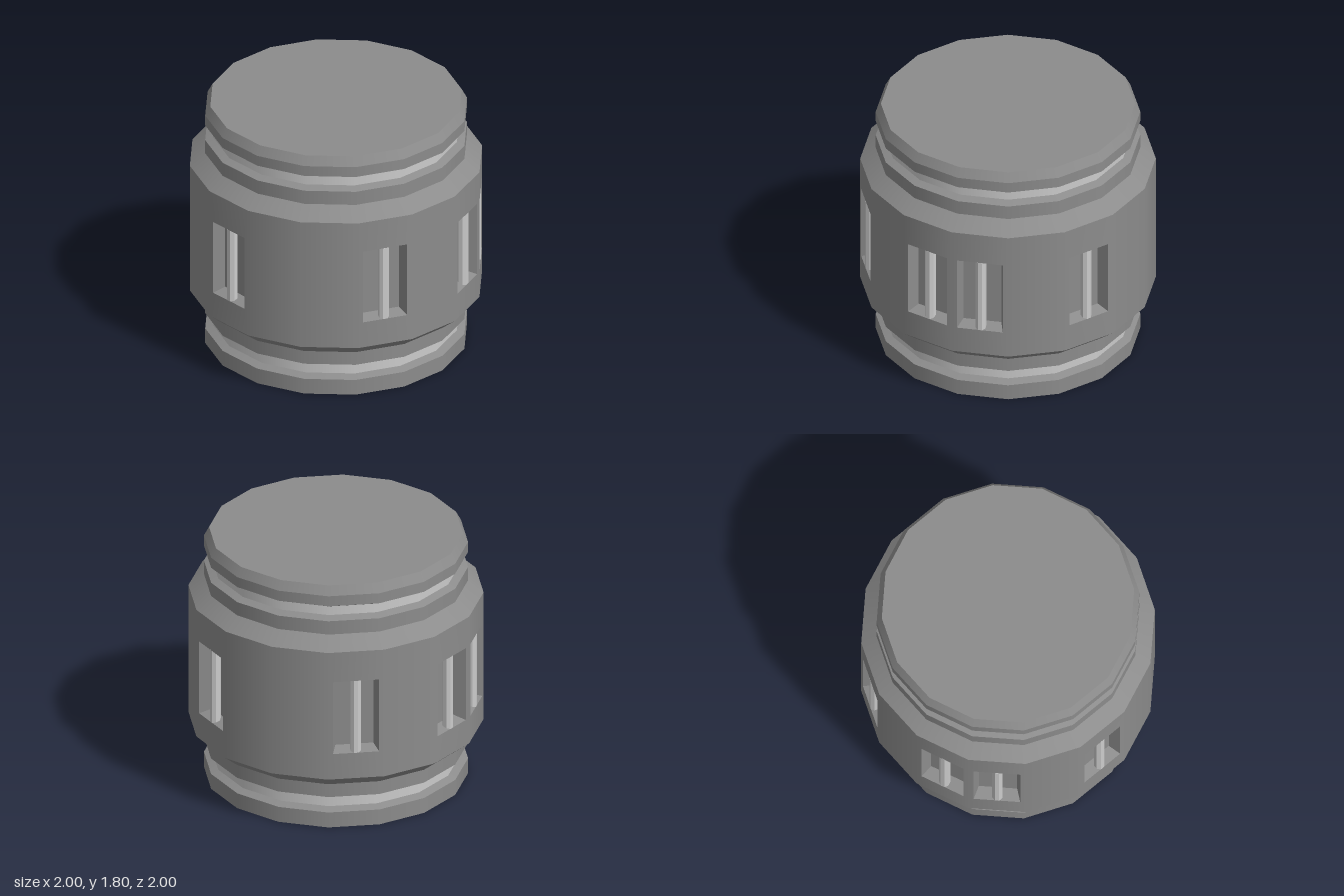
import * as THREE from 'three';
import { mergeGeometries, mergeVertices } from 'three/addons/utils/BufferGeometryUtils.js';

const SIDES = 16;
const STEP = (Math.PI * 2) / SIDES;
const APOTHEM = Math.cos(STEP / 2);
const WALL = { bottom: 0.41, top: 1.362 };
const WINDOW = { half: 0.158, bottom: 0.6, top: 1.14 };
const RECESS = { half: 0.13, bottom: 0.627, top: 1.113, z: 0.895 };
const WINDOW_SIDES = [1, 3, 4, 6, 9, 11, 12, 14];
const TOP = 1.803;
const GROOVE_RADIUS = 0.843;

const darkGrey = new THREE.MeshStandardMaterial({ color: 0x8c8c8c, side: THREE.DoubleSide });
const lightGrey = new THREE.MeshStandardMaterial({ color: 0xcccccc, side: THREE.DoubleSide });
const barGrey = new THREE.MeshStandardMaterial({ color: 0xcccccc, flatShading: true });

function addMesh(parent, name, geometry, material) {
  const mesh = new THREE.Mesh(geometry, material);
  mesh.name = name;
  parent.add(mesh);
}

// Stacked open rings following a [radius, y] profile, sharp between them; groove floors are light
function addBands(parent, name, profile) {
  const group = new THREE.Group();
  group.name = name;
  for (let i = 0; i < profile.length - 1; i++) {
    const [r0, y0] = profile[i];
    const [r1, y1] = profile[i + 1];
    const ring = new THREE.CylinderGeometry(r1, r0, y1 - y0, SIDES, 1, true);
    ring.translate(0, (y0 + y1) / 2, 0);
    const isGroove = r0 === GROOVE_RADIUS && r1 === GROOVE_RADIUS;
    addMesh(group, isGroove ? 'grooveFloor' : 'ring', ring, isGroove ? lightGrey : darkGrey);
  }
  parent.add(group);
}

// One flat side of the wall, optionally pierced, with normals that round the whole wall
function wallPanel(pierced) {
  const half = Math.sin(STEP / 2);
  const rect = (path, h, b, t) =>
    path.moveTo(-h, b).lineTo(h, b).lineTo(h, t).lineTo(-h, t).closePath();
  const shape = rect(new THREE.Shape(), half, WALL.bottom, WALL.top);
  if (pierced) shape.holes.push(rect(new THREE.Path(), WINDOW.half, WINDOW.bottom, WINDOW.top));
  const geometry = new THREE.ShapeGeometry(shape);
  geometry.deleteAttribute('uv');
  geometry.translate(0, 0, APOTHEM);
  const p = geometry.attributes.position;
  for (let i = 0; i < p.count; i++) {
    const n = new THREE.Vector3(p.getX(i), 0, p.getZ(i)).normalize();
    geometry.attributes.normal.setXYZ(i, n.x, n.y, n.z);
  }
  return geometry;
}

// Tapered pocket behind a window: four sloping walls and a back
function recessGeometry() {
  const corners = (o, z) => [
    [-o.half, o.bottom, z], [o.half, o.bottom, z], [o.half, o.top, z], [-o.half, o.top, z],
  ];
  const front = corners(WINDOW, APOTHEM);
  const back = corners(RECESS, RECESS.z);
  const points = [];
  const quad = (a, b, c, d) => points.push(...a, ...b, ...c, ...a, ...c, ...d);
  for (let i = 0; i < 4; i++) {
    const j = (i + 1) % 4;
    quad(front[i], front[j], back[j], back[i]);
  }
  quad(...back);
  const geometry = new THREE.BufferGeometry();
  geometry.setAttribute('position', new THREE.Float32BufferAttribute(points, 3));
  geometry.computeVertexNormals();
  return geometry;
}

export function createModel() {
  const model = new THREE.Group();
  model.name = 'ringedDrum';

  // Lower collar with its groove, and the matching upper collar
  addBands(model, 'lowerCollar', [
    [0.895, 0], [0.895, 0.112], [GROOVE_RADIUS, 0.135], [GROOVE_RADIUS, 0.203],
    [0.895, 0.228], [0.895, 0.325], [1, WALL.bottom],
  ]);
  addBands(model, 'upperCollar', [
    [1, WALL.top], [0.895, 1.45], [0.895, 1.55], [GROOVE_RADIUS, 1.572],
    [GROOVE_RADIUS, 1.637], [0.895, 1.663], [0.895, 1.738], [0.86, TOP],
  ]);

  // Flat lid; the underside stays open
  const lid = new THREE.CircleGeometry(0.86, SIDES);
  lid.rotateX(-Math.PI / 2);
  lid.translate(0, TOP, 0);
  addMesh(model, 'lid', lid, darkGrey);

  // Main wall, welded from its flat sides
  const panels = [];
  for (let k = 0; k < SIDES; k++) {
    panels.push(wallPanel(WINDOW_SIDES.includes(k)).rotateY((k + 0.5) * STEP));
  }
  addMesh(model, 'mainWall', mergeVertices(mergeGeometries(panels)), darkGrey);

  // Recess and upright light bar in each window, one bar face turned outward
  const recess = recessGeometry();
  const bar = new THREE.CylinderGeometry(0.038, 0.038, 0.54, 8);
  bar.rotateY(Math.PI / 8);
  bar.translate(0, 0.87, 0.947);
  for (const k of WINDOW_SIDES) {
    const window = new THREE.Group();
    window.name = 'window';
    window.rotation.y = (k + 0.5) * STEP;
    addMesh(window, 'windowRecess', recess, darkGrey);
    addMesh(window, 'windowBar', bar, barGrey);
    model.add(window);
  }

  return model;
}
